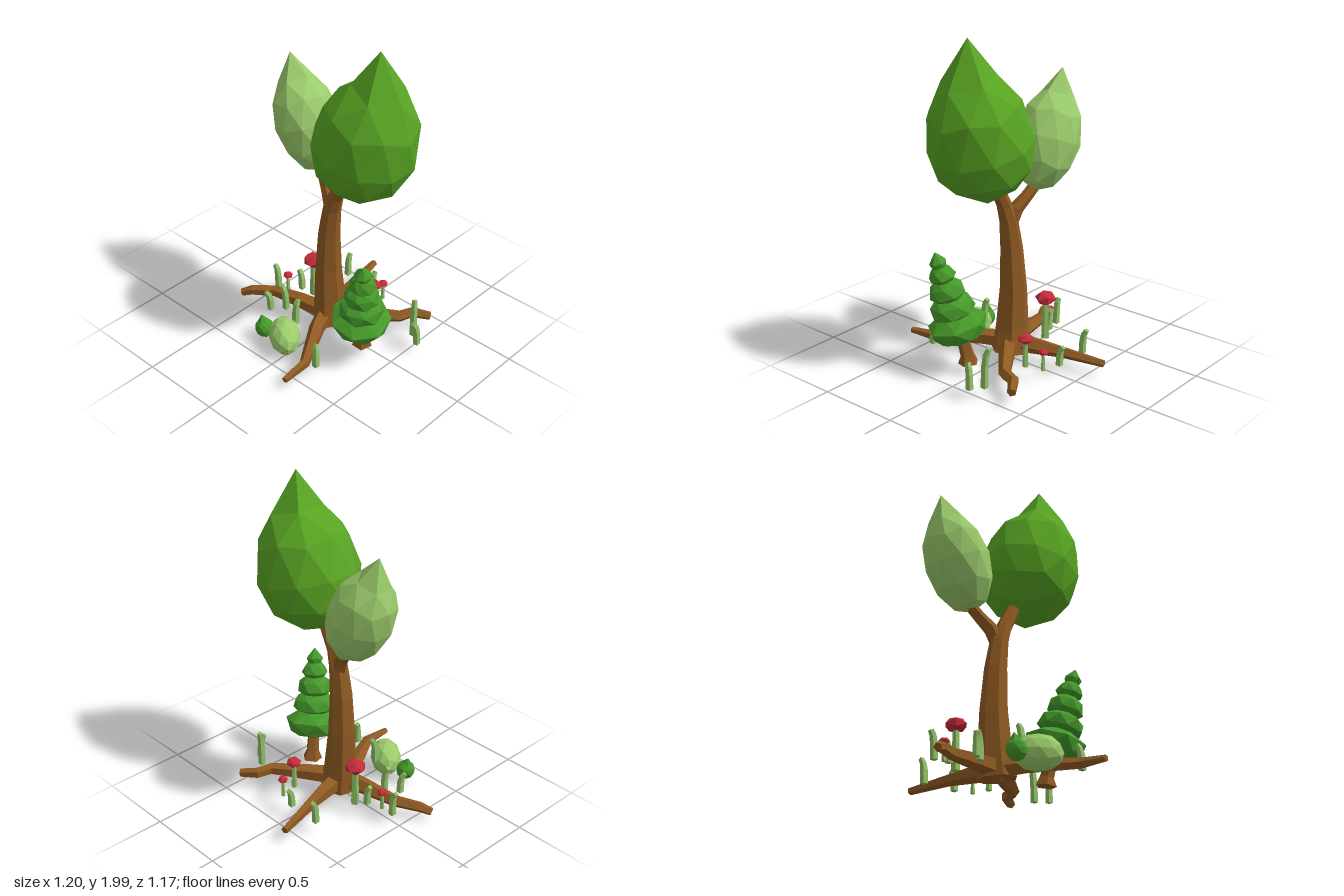
import * as THREE from 'three';

const material = (name, color) => Object.assign(new THREE.MeshStandardMaterial({ color }), { name });

export function createModel() {
  const leafGreen = material('leafGreen', 0x58a423);
  const paleGreen = material('paleGreen', 0x9ccc6c);
  const pineGreen = material('pineGreen', 0x45992a);
  const grassGreen = material('grassGreen', 0x8fbf66);
  const bark = material('bark', 0x8f5a22);
  const red = material('red', 0xc62b3a);
  const root = new THREE.Group();
  root.name = 'treeScene';

  // Faceted mesh: split vertices so every face gets its own normal
  function add(name, geo, mat, parent = root) {
    const flat = geo.index ? geo.toNonIndexed() : geo;
    flat.computeVertexNormals();
    const mesh = new THREE.Mesh(flat, mat);
    mesh.name = name;
    parent.add(mesh);
    return mesh;
  }

  // Loft rings of given radius along points [x, y, z, r]; twist is in steps per ring
  function limb(points, sides, twist = 0, squash = 1) {
    const P = points.map(p => new THREE.Vector3(p[0], p[1], p[2]));
    const last = P.length - 1;
    const span = P[last].clone().sub(P[0]).normalize();
    const ref = Math.abs(span.y) > 0.6 ? new THREE.Vector3(0, 0, 1) : new THREE.Vector3(0, 1, 0);
    const pos = [], idx = [];
    P.forEach((p, i) => {
      const t = P[Math.min(i + 1, last)].clone().sub(P[Math.max(i - 1, 0)]).normalize();
      const u = ref.clone().cross(t).normalize();
      const v = t.clone().cross(u);
      for (let j = 0; j < sides; j++) {
        const a = (j + 0.5 + twist * i) / sides * Math.PI * 2;
        const q = p.clone().addScaledVector(u, Math.cos(a) * points[i][3])
          .addScaledVector(v, Math.sin(a) * points[i][3] * squash);
        pos.push(q.x, q.y, q.z);
      }
    });
    for (let i = 0; i < last; i++) {
      for (let j = 0; j < sides; j++) {
        const a = i * sides + j, b = i * sides + (j + 1) % sides;
        idx.push(a, b, a + sides, b, b + sides, a + sides);
      }
    }
    // End caps
    for (let j = 1; j < sides - 1; j++) {
      const e = last * sides;
      idx.push(0, j + 1, j, e, e + j, e + j + 1);
    }
    const g = new THREE.BufferGeometry();
    g.setAttribute('position', new THREE.Float32BufferAttribute(pos, 3));
    g.setIndex(idx);
    return g;
  }

  // Leaning faceted crown: ball with separate upper and lower heights and a drawn-out tip
  function crown(name, mat, center, r, up, down, lean, tip) {
    const g = new THREE.IcosahedronGeometry(1, 1);
    g.rotateX(-Math.atan((1 + Math.sqrt(5)) / 2));
    const p = g.attributes.position, v = new THREE.Vector3();
    const axis = new THREE.Vector3(1, 0, 0);
    for (let i = 0; i < p.count; i++) {
      v.fromBufferAttribute(p, i);
      if (v.y > 0.99) v.set(...tip);
      else {
        v.set(v.x * r, v.y * (v.y > 0 ? up : down), v.z * r);
        v.applyAxisAngle(axis, lean).add(new THREE.Vector3(...center));
      }
      p.setXYZ(i, v.x, v.y, v.z);
    }
    add(name, g, mat);
  }
  crown('frontCrown', leafGreen, [0.01, 1.39, 0.25], 0.305, 0.46, 0.33, 0.26, [0.01, 2, 0.35]);
  crown('backCrown', paleGreen, [0.083, 1.33, -0.25], 0.195, 0.31, 0.31, -0.38, [0.083, 1.725, -0.385]);
  crown('smallBush', pineGreen, [-0.357, 0.09, -0.205], 0.058, 0.062, 0.062, -0.2, [-0.36, 0.18, -0.225]);

  // Trunk and fork
  add('trunk', limb([
    [0.015, 0.06, 0, 0.115], [0.015, 0.2, -0.015, 0.1], [0.015, 0.45, -0.025, 0.082],
    [0.01, 0.7, -0.015, 0.068], [0.008, 0.88, 0.01, 0.056], [0.005, 0.98, 0.045, 0.046],
    [0.005, 1.14, 0.13, 0.04]], 7), bark);
  add('branch', limb([
    [0.01, 0.84, 0.005, 0.04], [0.03, 0.95, -0.035, 0.042],
    [0.06, 1.02, -0.1, 0.035], [0.08, 1.1, -0.18, 0.034]], 6), bark);

  // Spreading roots
  [
    [[0, 0.11, 0, 0.06], [-0.03, 0.11, -0.2, 0.05], [-0.065, 0.1, -0.4, 0.036], [-0.145, 0.085, -0.53, 0.032], [-0.185, 0.06, -0.585, 0.024]],
    [[0, 0.11, 0, 0.06], [0.13, 0.115, -0.035, 0.054], [0.33, 0.11, -0.085, 0.035], [0.59, 0.09, -0.152, 0.022]],
    [[0.02, 0.11, -0.03, 0.06], [-0.15, 0.105, 0.04, 0.05], [-0.42, 0.085, 0.195, 0.032], [-0.6, 0.075, 0.207, 0.019]],
    [[0, 0.11, 0, 0.06], [0.12, 0.115, 0.16, 0.05], [0.26, 0.115, 0.345, 0.036], [0.35, 0.11, 0.375, 0.033], [0.41, 0.095, 0.465, 0.026]]
  ].forEach(path => add('root', limb(path, 5), bark));

  // Small leaning conifer: stacked skirts along a straight axis
  const foot = new THREE.Vector3(-0.085, 0.24, 0.328);
  const axis = new THREE.Vector3(-0.1, 0.52, 0.1).normalize();
  const skirts = [[0, 0.13], [0.02, 0.155], [0.09, 0.18], [0.14, 0.095], [0.16, 0.135], [0.22, 0.125],
    [0.25, 0.08], [0.275, 0.108], [0.33, 0.095], [0.36, 0.058], [0.385, 0.082], [0.425, 0.065],
    [0.45, 0.042], [0.48, 0.052], [0.54, 0.002]];
  add('coniferFoliage', limb(skirts.map(([h, r]) =>
    [...foot.clone().addScaledVector(axis, h).toArray(), r]), 7, 0.5), pineGreen);
  add('coniferTrunk', limb([[-0.045, 0.07, 0.31, 0.062], [-0.05, 0.12, 0.312, 0.042],
    [-0.085, 0.28, 0.335, 0.034]], 5), bark);

  // Round bush
  const bush = add('bush', new THREE.IcosahedronGeometry(1, 1), paleGreen);
  bush.scale.set(0.095, 0.104, 0.14);
  bush.position.set(-0.347, 0.112, -0.042);
  bush.rotation.y = 2.5;

  // Grass blades: x, z, bottom, top, bend direction
  [
    [0.01, -0.45, 0.07, 0.23, 1.6], [-0.185, -0.325, 0.07, 0.2, 2.4], [-0.125, -0.25, 0.08, 0.24, 1.8],
    [0.395, -0.205, 0.08, 0.23, 0.2], [0.39, 0.01, 0.08, 0.2, 0.1], [-0.24, -0.055, 0.14, 0.3, 0],
    [-0.385, 0.25, 0.07, 0.215, 0.7], [0.225, 0.48, 0.07, 0.31, 0.6], [0.175, 0.55, 0.07, 0.225, 2.6],
    [0.07, -0.3, 0.1, 0.23, 1.5]
  ].forEach(([x, z, y0, y1, a]) => {
    const at = (f, bend, r) => [x + Math.cos(a) * bend, y0 + (y1 - y0) * f, z - Math.sin(a) * bend, r];
    add('grassBlade', limb([at(0, 0, 0.022), at(0.55, 0.003, 0.021), at(0.83, 0.011, 0.019),
      at(1, 0.026, 0.016)], 4), grassGreen);
  });

  // Mushrooms: x, cap height, z, cap radius
  [[0.1, 0.34, -0.228, 0.068], [0.36, 0.195, 0.122, 0.031], [0.25, 0.255, 0.147, 0.047],
    [0.02, 0.192, -0.375, 0.032]].forEach(([x, y, z, r]) => {
    const mushroom = new THREE.Group();
    mushroom.name = 'mushroom';
    root.add(mushroom);
    add('stem', limb([[x, 0.08, z, r * 0.32 + 0.004], [x, y, z, r * 0.26]], 5), grassGreen, mushroom);
    const cap = add('cap', new THREE.IcosahedronGeometry(r, 0), red, mushroom);
    cap.position.set(x, y, z);
    cap.scale.y = 0.66;
    cap.rotation.y = x * 9;
  });

  return root;
}
